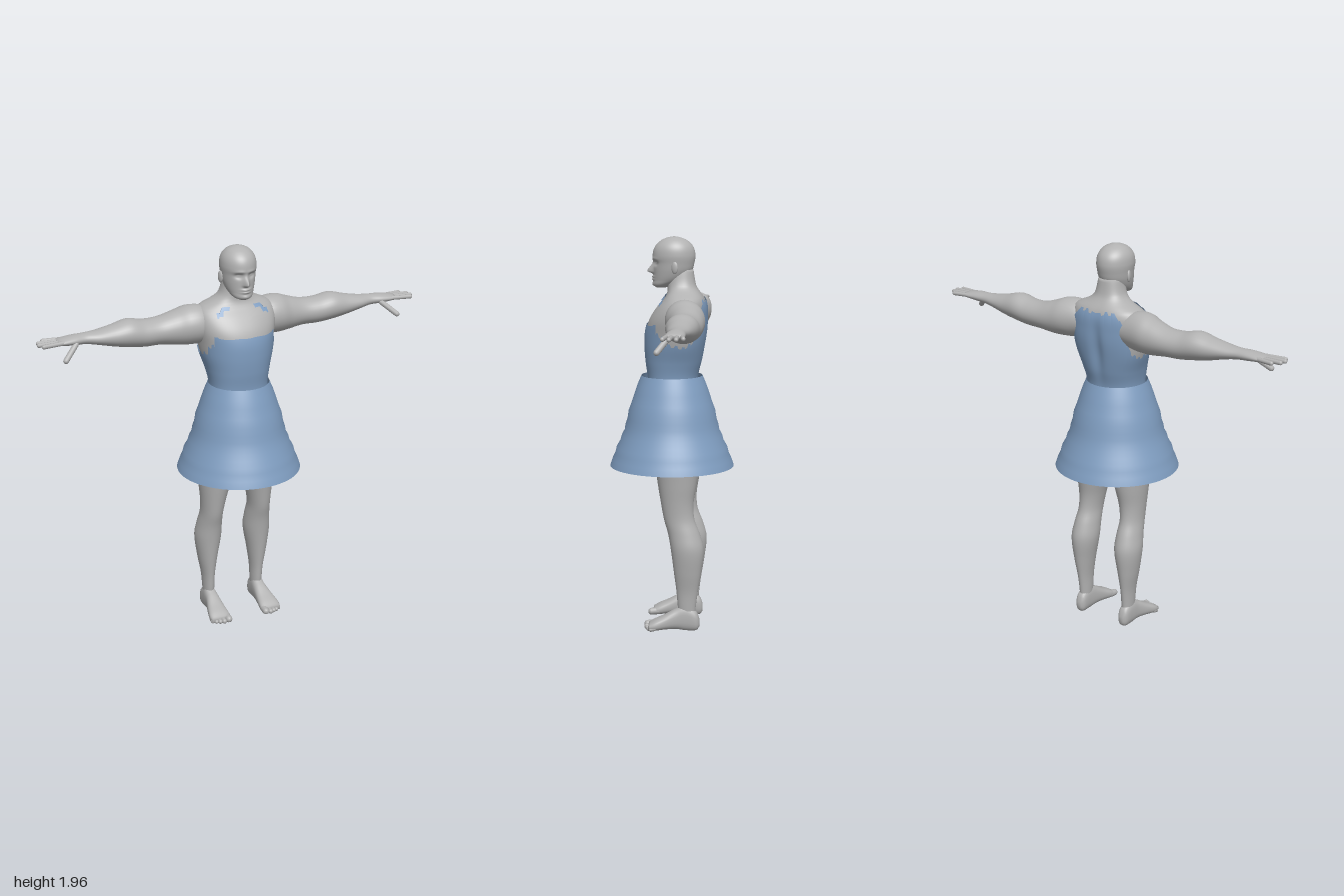
import * as THREE from 'three';

const skin = new THREE.MeshStandardMaterial({ color: 0xb2b2b2 });
skin.name = 'grey skin';
const cloth = new THREE.MeshStandardMaterial({ color: 0x7f9dc0, side: THREE.DoubleSide });
cloth.name = 'blue cloth';

const gauss = (d, s) => Math.exp(-(d * d) / (s * s));

// Smoothly interpolated cross-section [t, uLo, uHi, vLo, vHi]
function sectionAt(secs, t) {
  let i = 0;
  while (i < secs.length - 2 && t > secs[i + 1][0]) i++;
  const a = secs[i], b = secs[i + 1], p = secs[i - 1] || a, n = secs[i + 2] || b;
  const h = b[0] - a[0], k = Math.min(1, Math.max(0, (t - a[0]) / h));
  const k2 = k * k, k3 = k2 * k;
  return a.map((_, c) => {
    const m0 = (b[c] - p[c]) / (b[0] - p[0]) * h, m1 = (n[c] - a[c]) / (n[0] - a[0]) * h;
    return (2 * k3 - 3 * k2 + 1) * a[c] + (k3 - 2 * k2 + k) * m0 + (3 * k2 - 2 * k3) * b[c] + (k3 - k2) * m1;
  });
}

// Point on a lofted surface; axis 0, 1, 2 = x, y, z, and u, v follow cyclically
function loftPoint(secs, axis, t, ang, power = 1, off = 0) {
  const [, u0, u1, v0, v1] = sectionAt(secs, t);
  const bend = (w) => Math.sign(w) * Math.abs(w) ** power;
  const p = [0, 0, 0];
  p[axis] = t;
  p[(axis + 1) % 3] = (u0 + u1) / 2 + ((u1 - u0) / 2 + off) * bend(Math.cos(ang));
  p[(axis + 2) % 3] = (v0 + v1) / 2 + ((v1 - v0) / 2 + off) * bend(Math.sin(ang));
  return p;
}

// Surface grid from fn(i, j) -> [x, y, z]; optionally closed round and capped
function grid(nu, nv, fn, closed, capped) {
  const pos = [], index = [], cols = closed ? nu : nu + 1;
  for (let j = 0; j <= nv; j++) for (let i = 0; i < cols; i++) pos.push(...fn(i / nu, j / nv));
  for (let j = 0; j < nv; j++) for (let i = 0; i < nu; i++) {
    const i2 = (i + 1) % cols, a = j * cols + i, b = j * cols + i2, c = a + cols, d = b + cols;
    index.push(a, b, d, a, d, c);
  }
  if (capped) for (const j of [0, nv]) {
    const centre = [0, 0, 0], id = pos.length / 3;
    for (let i = 0; i < cols; i++) for (let k = 0; k < 3; k++) centre[k] += pos[(j * cols + i) * 3 + k] / cols;
    pos.push(...centre);
    for (let i = 0; i < cols; i++) {
      const a = j * cols + i, b = j * cols + (i + 1) % cols;
      if (j) index.push(a, b, id); else index.push(b, a, id);
    }
  }
  const g = new THREE.BufferGeometry();
  g.setAttribute('position', new THREE.Float32BufferAttribute(pos, 3));
  g.setIndex(index);
  g.computeVertexNormals();
  return g;
}

function loft(secs, axis, nu, nv, shape = (p) => p, power = 1) {
  const t0 = secs[0][0], t1 = secs[secs.length - 1][0];
  return grid(nu, nv, (u, v) => shape(loftPoint(secs, axis, t0 + (t1 - t0) * v, u * Math.PI * 2, power)), true, true);
}

function mirrored(geo) {
  const g = geo.clone().scale(-1, 1, 1), ix = g.index;
  for (let i = 0; i < ix.count; i += 3) {
    const b = ix.getX(i + 1);
    ix.setX(i + 1, ix.getX(i + 2));
    ix.setX(i + 2, b);
  }
  return g;
}

// Rounded digit between two points
function digit(from, to, r) {
  const a = new THREE.Vector3(...from), b = new THREE.Vector3(...to), d = b.clone().sub(a);
  const g = new THREE.CapsuleGeometry(r, d.length() - r, 4, 10);
  g.applyQuaternion(new THREE.Quaternion().setFromUnitVectors(new THREE.Vector3(0, 1, 0), d.normalize()));
  return g.translate((a.x + b.x) / 2, (a.y + b.y) / 2, (a.z + b.z) / 2);
}

// Torso: height, back, front, right, left
const torso = [
  [0.88, 0.06, 0.15], [0.98, 0.09, 0.18], [1.1, 0.11, 0.165], [1.2, 0.115, 0.145], [1.27, 0.115, 0.14],
  [1.35, 0.125, 0.155], [1.43, 0.13, 0.178], [1.5, 0.126, 0.19], [1.56, 0.108, 0.2], [1.62, 0.07, 0.2],
  [1.66, 0.035, 0.18], [1.69, 0.022, 0.115], [1.72, 0.022, 0.08], [1.8, 0.02, 0.06],
].map(([y, f, w], i) => {
  const back = [0.14, 0.15, 0.14, 0.125, 0.125, 0.145, 0.16, 0.17, 0.172, 0.17, 0.158, 0.138, 0.12, 0.105][i];
  return [y, -back, f, -w, w];
});

// Widen the back muscles and sink the spine
function shapeTorso([x, y, z]) {
  const mid = gauss(y - 1.46, 0.13);
  if (z < -0.02) z += 0.016 * mid * gauss(x, 0.03);
  return [x * (1 - 0.9 * mid * (z + 0.02)), y, z];
}
const torsoPoint = (y, ang, off) => shapeTorso(loftPoint(torso, 1, y, ang, 0.88, off));

// Ragged upper edge of the bodice, by angle from the front
const edge = [[0, 1.53], [0.95, 1.535], [1.0, 1.5], [1.25, 1.48], [1.3, 1.45], [1.9, 1.43], [2.2, 1.46],
  [2.36, 1.51], [2.44, 1.6], [2.6, 1.652], [2.9, 1.655], [3.15, 1.64]];
function bodiceTop(ang) {
  const a = Math.min(ang, Math.PI * 2 - ang);
  const i = edge.findIndex((e) => e[0] > a), [a0, y0] = edge[i - 1], [a1, y1] = edge[i];
  const rag = a > 0.8 ? 0.007 * Math.sign(Math.sin(a * 31)) : 0.002 * Math.sin(a * 9);
  return y0 + (y1 - y0) * (a - a0) / (a1 - a0) + rag;
}

// Head: height, back, front, right, left
const head = [
  [1.71, 0.03, 0.075, 0.02], [1.722, 0.0, 0.09, 0.045], [1.75, -0.06, 0.09, 0.064], [1.79, -0.097, 0.09, 0.077],
  [1.83, -0.11, 0.09, 0.083], [1.87, -0.115, 0.095, 0.087], [1.91, -0.105, 0.084, 0.08],
  [1.94, -0.077, 0.055, 0.058], [1.955, -0.043, 0.022, 0.03], [1.96, -0.018, -0.004, 0.006],
].map(([y, b, f, w]) => [y, b, f, -w, w]);

function shapeFace([x, y, z]) {
  if (z < 0.02) return [x, y, z];
  const ax = Math.abs(x);
  z -= 0.014 * gauss(ax - 0.033, 0.017) * gauss(y - 1.832, 0.013);   // eye sockets
  z += 0.005 * gauss(ax - 0.033, 0.011) * gauss(y - 1.831, 0.006);   // eyes
  z += 0.005 * gauss(ax - 0.03, 0.03) * gauss(y - 1.852, 0.009);     // brows
  const down = y > 1.79 ? gauss(y - 1.79, 0.032) : gauss(y - 1.79, 0.01);
  z += 0.031 * down * gauss(x, 0.013);                               // nose
  z += 0.009 * gauss(x, 0.022) * (gauss(y - 1.764, 0.006) + gauss(y - 1.751, 0.006)); // lips
  z += 0.006 * gauss(x, 0.02) * gauss(y - 1.727, 0.012);             // chin
  return [x, y, z];
}

// Arm: x, bottom, top, back, front
const arm = [
  [0.1, 1.51, 1.63, -0.15, -0.02], [0.17, 1.48, 1.665, -0.165, 0.015], [0.24, 1.475, 1.668, -0.178, 0.015],
  [0.3, 1.478, 1.648, -0.178, -0.005], [0.38, 1.488, 1.625, -0.175, -0.02], [0.46, 1.49, 1.624, -0.17, -0.016],
  [0.54, 1.5, 1.638, -0.166, -0.01], [0.62, 1.515, 1.62, -0.152, -0.02], [0.7, 1.535, 1.605, -0.136, -0.03],
  [0.76, 1.546, 1.6, -0.124, -0.045], [0.82, 1.55, 1.598, -0.124, -0.036], [0.88, 1.558, 1.59, -0.124, -0.034],
  [0.9, 1.566, 1.584, -0.118, -0.04],
];
const fingers = [[0.985, -0.032, -0.046], [1.0, -0.062, -0.068], [0.995, -0.094, -0.09], [0.965, -0.124, -0.111]];

// Leg: height, back, front, inner, outer
const leg = [
  [0.05, -0.125, -0.05, 0.11, 0.16], [0.12, -0.13, -0.04, 0.107, 0.164], [0.2, -0.14, -0.033, 0.104, 0.17],
  [0.3, -0.156, -0.02, 0.09, 0.188], [0.42, -0.168, -0.004, 0.07, 0.203], [0.5, -0.148, 0.01, 0.072, 0.195],
  [0.57, -0.122, 0.03, 0.075, 0.187], [0.65, -0.117, 0.045, 0.062, 0.19], [0.75, -0.132, 0.062, 0.036, 0.2],
  [0.85, -0.142, 0.075, 0.02, 0.208], [0.95, -0.142, 0.08, 0.01, 0.2], [1.05, -0.125, 0.07, 0.02, 0.15],
];
// Foot: z, inner, outer, bottom, top
const foot = [
  [-0.148, 0.122, 0.15, 0.02, 0.06], [-0.135, 0.11, 0.163, 0.002, 0.095], [-0.08, 0.105, 0.168, 0, 0.13],
  [-0.03, 0.1, 0.172, 0.006, 0.11], [0.03, 0.093, 0.187, 0.004, 0.076], [0.075, 0.088, 0.196, 0, 0.054],
  [0.105, 0.09, 0.192, 0.004, 0.036],
];

// Skirt: radius, height
const skirtProfile = [[0.31, 0.82], [0.298, 0.855], [0.284, 0.885], [0.277, 0.915], [0.259, 0.945], [0.251, 0.975],
  [0.237, 1.0], [0.232, 1.03], [0.222, 1.06], [0.216, 1.1], [0.201, 1.14], [0.185, 1.19], [0.171, 1.23], [0.152, 1.275]];

export function createModel() {
  const model = new THREE.Group();
  const add = (name, geo, mat = skin) => {
    const m = new THREE.Mesh(geo, mat);
    m.name = name;
    model.add(m);
  };
  const pair = (name, geo, mat) => {
    add('left ' + name, geo, mat);
    add('right ' + name, mirrored(geo), mat);
  };

  add('torso', loft(torso, 1, 80, 70, shapeTorso, 0.88));
  add('head', loft(head, 1, 112, 90, shapeFace));
  pair('ear', new THREE.SphereGeometry(1, 14, 10).scale(0.009, 0.03, 0.017).rotateY(-0.3).translate(0.086, 1.812, -0.02));

  // Arms and hands
  pair('arm', loft(arm, 0, 32, 70));
  fingers.forEach(([x, z, zRoot], i) => pair('finger ' + (i + 1), digit([0.87, 1.575, zRoot], [x - 0.005, 1.574, z], 0.0105)));
  pair('thumb', digit([0.81, 1.565, -0.05], [0.886, 1.499, 0.004], 0.014));

  // Legs and feet
  pair('leg', loft(leg, 1, 36, 60));
  pair('foot', loft(foot, 2, 28, 32, undefined, 0.8));
  [[0.105, 0.123, 0.018], [0.131, 0.124, 0.013], [0.151, 0.118, 0.012], [0.169, 0.11, 0.011], [0.185, 0.098, 0.011]]
    .forEach(([x, z, r], i) => pair('toe ' + (i + 1), digit([x, r + 0.006, 0.07], [x, r, z], r)));

  // Dress
  add('skirt', new THREE.LatheGeometry(skirtProfile.map(([r, y]) => new THREE.Vector2(r, y)), 64), cloth);
  add('bodice', grid(200, 40, (u, v) => {
    const ang = u * Math.PI * 2;
    return torsoPoint(1.24 + (bodiceTop(ang) - 1.24) * v, ang, 0.006);
  }, true, false), cloth);

  // Torn strap pieces on the collarbones
  pair('strap piece', grid(16, 6, (u, v) => {
    const lo = u < 0.45 ? 1.652 : u < 0.85 ? 1.63 : 1.622, hi = u < 0.7 ? 1.668 : 1.645;
    const [x, y, z] = torsoPoint(lo + (hi - lo) * v, 0.3 + 0.36 * u, 0.01);
    return [x, y + 0.004, z];
  }), cloth);

  return model;
}
